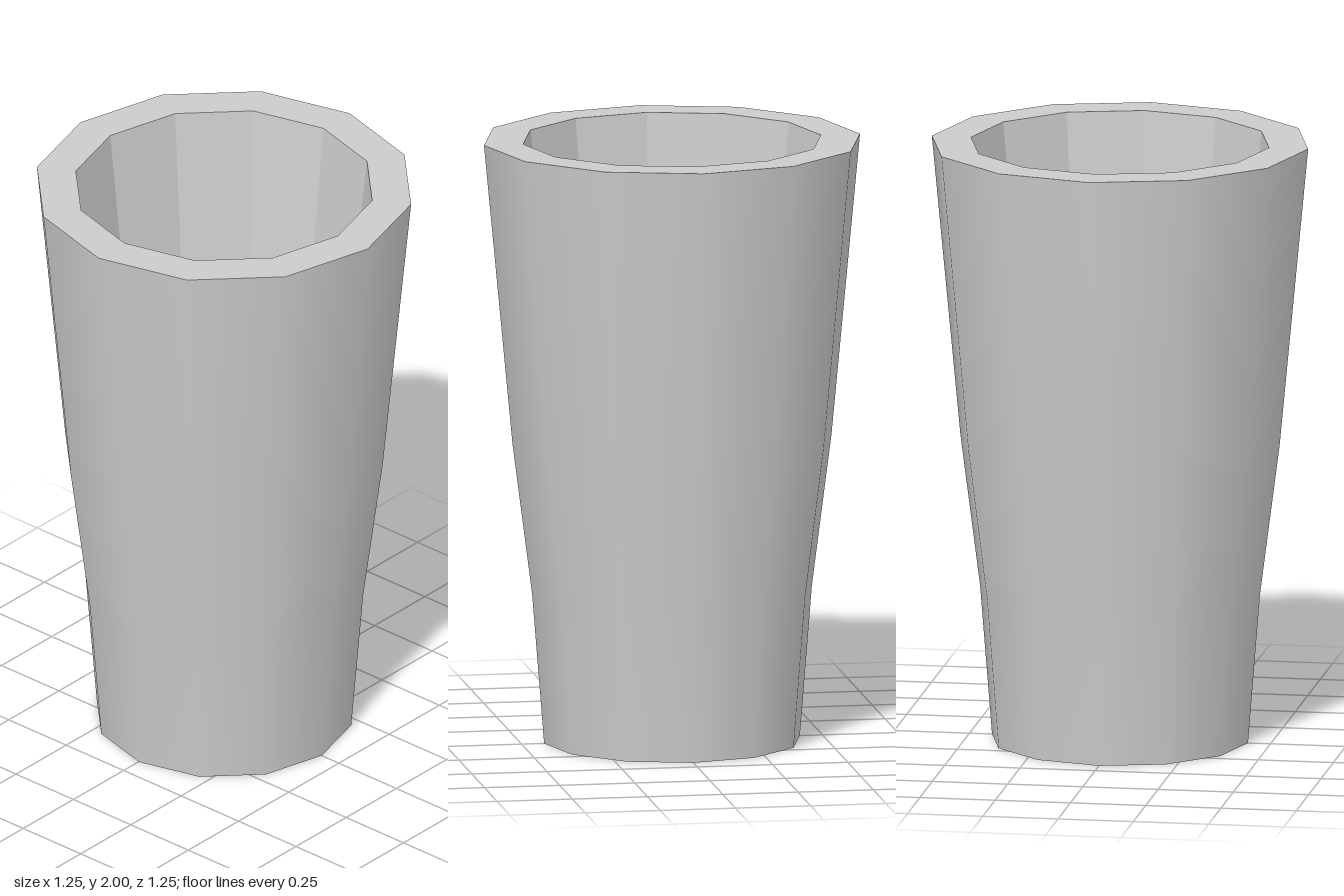
import * as THREE from 'three';

const SIDES = 12;

// Revolve a profile of [radius, height] points, listed so its faces look outward
function revolve(name, profile, flatShading) {
  const points = profile.map(([r, y]) => new THREE.Vector2(r, y));
  const material = new THREE.MeshStandardMaterial({ color: 0xcccccc, flatShading });
  const mesh = new THREE.Mesh(new THREE.LatheGeometry(points, SIDES), material);
  mesh.name = name;
  return mesh;
}

export function createModel() {
  const cup = new THREE.Group();
  cup.name = 'cup';

  const base = 0.425, rim = 0.625, innerRim = 0.495, floorRadius = 0.29, floorY = 0.15;

  cup.add(
    // Smooth flaring outside
    revolve('outerWall', [[base, 0], [0.465, 0.5], [0.53, 1], [rim, 2]], false),
    // Flat ring on top
    revolve('rim', [[rim, 2], [innerRim, 2]], true),
    // Faceted tapering inside
    revolve('innerWall', [[innerRim, 2], [floorRadius, floorY]], true),
    revolve('innerFloor', [[floorRadius, floorY], [0, floorY]], true),
    revolve('underside', [[0, 0], [base, 0]], true),
  );
  return cup;
}
